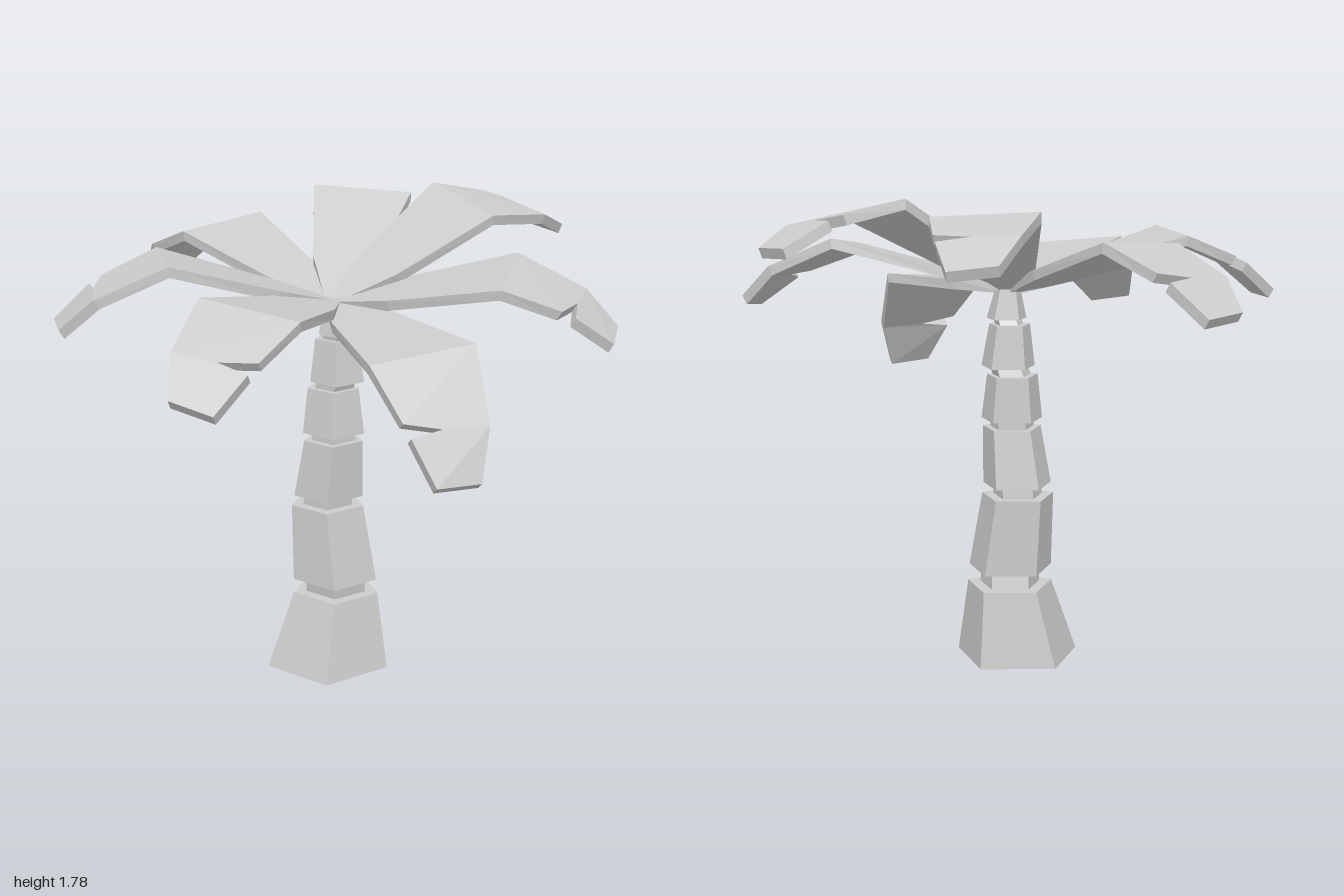
import * as THREE from 'three';

const material = new THREE.MeshStandardMaterial({ color: 0xcccccc, flatShading: true });
const vec = (a) => new THREE.Vector3(...a);
const lerp = (a, b, t) => a.clone().lerp(b, t);

// Closed solid through a series of rings with equal point counts
function loft(rings) {
  const pos = [];
  const tri = (a, b, c) => {
    const area = b.clone().sub(a).cross(c.clone().sub(a)).length();
    if (area > 1e-7) for (const p of [a, b, c]) pos.push(p.x, p.y, p.z);
  };
  const n = rings[0].length;
  for (let i = 0; i < rings.length - 1; i++) {
    for (let j = 0; j < n; j++) {
      const k = (j + 1) % n;
      tri(rings[i][j], rings[i][k], rings[i + 1][k]);
      tri(rings[i][j], rings[i + 1][k], rings[i + 1][j]);
    }
  }
  const first = rings[0], last = rings[rings.length - 1];
  for (let j = 1; j < n - 1; j++) {
    tri(first[0], first[j + 1], first[j]);
    tri(last[0], last[j], last[j + 1]);
  }
  const g = new THREE.BufferGeometry();
  g.setAttribute('position', new THREE.Float32BufferAttribute(pos, 3));
  g.computeVertexNormals();
  return g;
}

function part(name, rings) {
  const m = new THREE.Mesh(loft(rings), material);
  m.name = name;
  return m;
}

// Five-sided trunk ring with a flat side to the front
function pentagon([x, y, z, r]) {
  return Array.from({ length: 5 }, (_, i) => {
    const a = ((i * 72 - 36) * Math.PI) / 180;
    return new THREE.Vector3(x + r * Math.sin(a), y, z + r * Math.cos(a));
  });
}

// Trunk segments: bottom and top ring as [x, y, z, radius]
const SEGMENTS = [
  [[-0.04, 0, 0.015, 0.24], [0, 0.29, 0.01, 0.168]],
  [[-0.01, 0.35, 0.02, 0.165], [-0.02, 0.64, -0.015, 0.142]],
  [[-0.02, 0.68, -0.01, 0.135], [-0.01, 0.9, 0.01, 0.115]],
  [[-0.01, 0.93, 0.01, 0.12], [-0.005, 1.1, 0, 0.1]],
  [[0, 1.13, 0.02, 0.105], [0, 1.29, 0.01, 0.08]],
  [[0, 1.31, 0.03, 0.078], [0, 1.44, 0.02, 0.045]],
];

// Fronds: fold and tip corners, notched side first
const FRONDS = [
  { fold: [[0.08, 1.645, -0.63], [-0.3, 1.62, -0.58]], tip: [[-0.07, 1.41, -1], [-0.24, 1.42, -0.98]] },
  { fold: [[0.54, 1.73, -0.26], [0.26, 1.75, -0.52]], tip: [[0.74, 1.59, -0.65], [0.61, 1.61, -0.76]] },
  { fold: [[0.555, 1.785, -0.14], [0.545, 1.72, 0.24]], tip: [[0.98, 1.63, -0.04], [0.98, 1.62, 0.13]] },
  { fold: [[0.25, 1.56, 0.65], [0.54, 1.61, 0.39]], tip: [[0.6, 1.36, 0.85], [0.73, 1.38, 0.73]] },
  { fold: [[-0.32, 1.39, 0.67], [0.07, 1.42, 0.74]], tip: [[-0.27, 1.04, 0.98], [-0.1, 1.03, 1]] },
  { fold: [[-0.49, 1.53, 0.52], [-0.68, 1.57, 0.185]], tip: [[-0.87, 1.29, 0.59], [-0.95, 1.32, 0.44]] },
  { fold: [[-0.52, 1.62, -0.39], [-0.67, 1.63, -0.04]], tip: [[-0.92, 1.4, -0.44], [-0.98, 1.4, -0.28]] },
];

const upNormal = (across, along) => {
  const n = across.clone().cross(along).normalize();
  return n.y < 0 ? n.negate() : n;
};

function frondRings({ fold, tip }) {
  const [fN, fP] = fold.map(vec), [tN, tP] = tip.map(vec);
  const across = fP.clone().sub(fN).normalize();
  const crown = new THREE.Vector3(-0.02, 1.44, 0.02);
  const foldMid = lerp(fN, fP, 0.5), tipMid = lerp(tN, tP, 0.5);
  const innerUp = upNormal(across, foldMid.clone().sub(crown));
  const outerUp = upNormal(across, tipMid.clone().sub(foldMid));
  const foldUp = innerUp.clone().add(outerUp).normalize();
  const shift = (p, side, up = 0) => p.clone().addScaledVector(across, side).addScaledVector(outerUp, up);

  // Root, widened base, then the shoulders with a slit on one side
  const rN = shift(crown, -0.03), rP = shift(crown, 0.03);
  const bN = shift(lerp(rN, fN, 0.35), -0.03), bP = shift(lerp(rP, fP, 0.35), 0.03);
  const shoulder = shift(lerp(fP, tP, 0.63), 0.025, 0.035);
  const slitIn = shift(lerp(fN, tN, 0.5), -0.01, 0.03);
  const slitOut = shift(lerp(fN, tN, 0.62), -0.01, 0.03);
  const slit = shift(lerp(lerp(fN, tN, 0.57), shoulder, 0.4), 0, 0.02);
  const rows = [
    [rN, rP, innerUp], [bN, bP, innerUp], [fN, fP, foldUp],
    [slitIn, shoulder, outerUp], [slit, shoulder, outerUp],
    [slitOut, shoulder, outerUp], [tN, tP, outerUp],
  ];

  // Order each row left to right so that faces point outward
  const along = tipMid.clone().sub(crown);
  const slitOnLeft = across.clone().cross(along).y < 0;
  return rows.map(([n, p, up]) => {
    const [l, r] = slitOnLeft === (across.clone().cross(along).y < 0) && isLeft(across, along) ? [n, p] : [p, n];
    const under = (q) => q.clone().addScaledVector(up, -0.038);
    return [l, r, under(r), under(l)];
  });
}

// True when the across direction points to the right of the along direction
function isLeft(across, along) {
  return across.x * -along.z + across.z * along.x > 0;
}

export function createModel() {
  const model = new THREE.Group();
  model.name = 'palmTree';

  const trunk = new THREE.Group();
  trunk.name = 'trunk';
  SEGMENTS.forEach(([bottom, top], i) => {
    trunk.add(part('trunkSegment' + (i + 1), [pentagon(bottom), pentagon(top)]));
    // Narrow neck up to the next segment
    const next = SEGMENTS[i + 1];
    if (!next) return;
    const [x, y, z, r] = next[0];
    const neck = [[top[0], top[1] - 0.01, top[2], r * 0.72], [x, y + 0.01, z, r * 0.7]];
    trunk.add(part('trunkNeck' + (i + 1), neck.map(pentagon)));
  });
  model.add(trunk);

  const crown = new THREE.Group();
  crown.name = 'crown';
  FRONDS.forEach((f, i) => crown.add(part('frond' + (i + 1), frondRings(f))));
  model.add(crown);
  return model;
}
